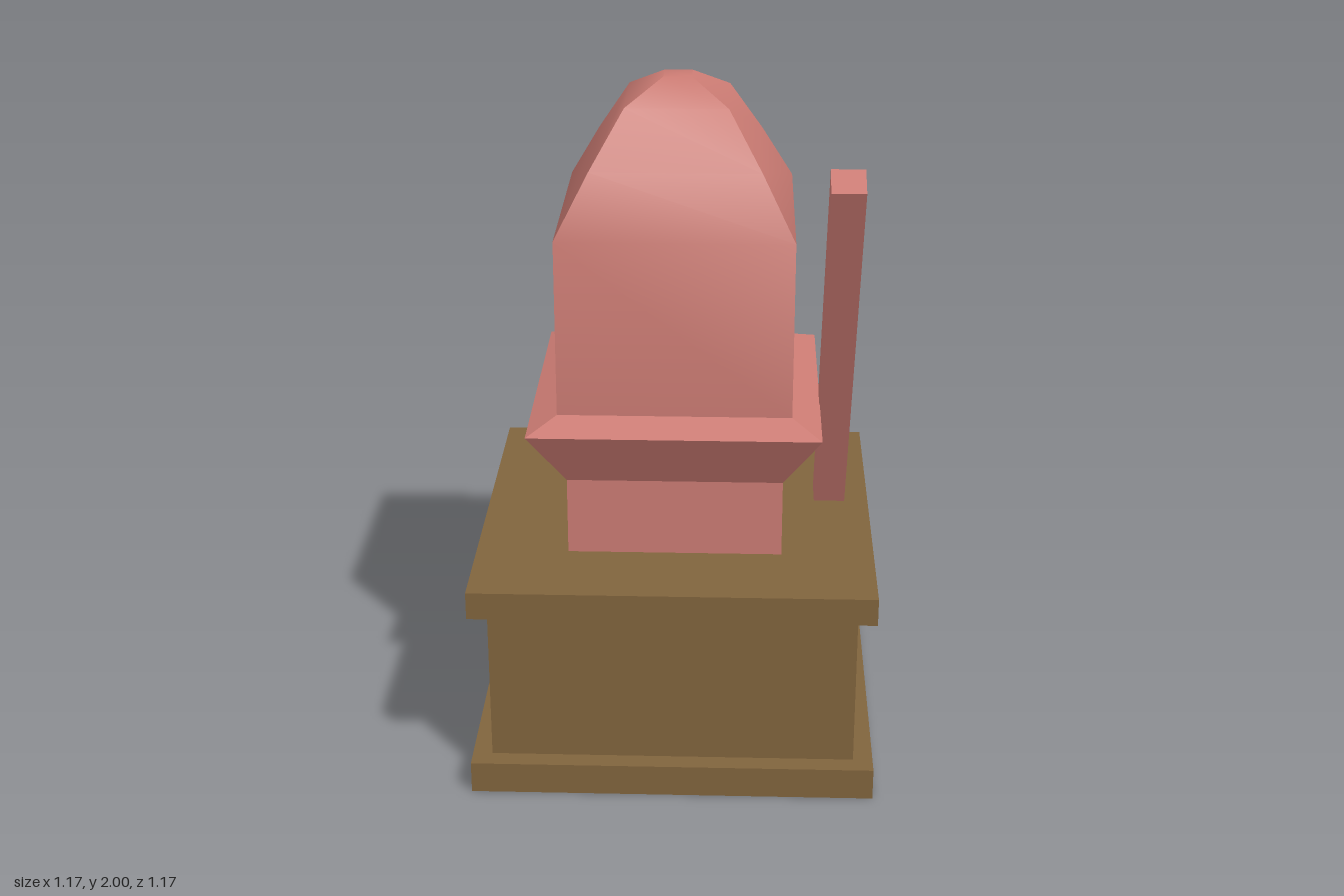
import * as THREE from 'three';
import { toCreasedNormals } from 'three/addons/utils/BufferGeometryUtils.js';

const wood = new THREE.MeshStandardMaterial({ color: 0x80643d });
const pink = new THREE.MeshStandardMaterial({ color: 0xcb7b73 });

// Square solid swept from a profile of [half width, height], bottom to top
function squareSolid(name, profile, material, creaseDegrees = 5) {
  const points = profile.map(([half, y]) => new THREE.Vector2(half * Math.SQRT2, y));
  const lathe = new THREE.LatheGeometry(points, 4, Math.PI / 4);
  const mesh = new THREE.Mesh(toCreasedNormals(lathe, THREE.MathUtils.degToRad(creaseDegrees)), material);
  mesh.name = name;
  return mesh;
}

// Square slab between two heights
function slab(name, half, y0, y1, material) {
  const mesh = new THREE.Mesh(new THREE.BoxGeometry(half * 2, y1 - y0, half * 2), material);
  mesh.position.y = (y0 + y1) / 2;
  mesh.name = name;
  return mesh;
}

export function createModel() {
  const model = new THREE.Group();
  model.name = 'pedestalWithLever';

  // Stepped pedestal
  model.add(
    slab('plinth', 0.585, 0, 0.095, wood),
    slab('pedestalBody', 0.528, 0.095, 0.57, wood),
    slab('pedestalTop', 0.58, 0.57, 0.652, wood),
  );

  // Neck, flared collar and domed head
  model.add(
    slab('neck', 0.311, 0.652, 0.882, pink),
    squareSolid('collar', [[0.311, 0.882], [0.417, 1.058], [0.333, 1.095]], pink),
    squareSolid('dome', [[0.333, 1.095], [0.333, 1.61], [0.24, 1.78], [0.145, 1.936],
      [0.04, 2], [0, 2]], pink, 36),
  );

  // Leaning lever on the left side, its foot sunk into the pedestal
  const top = new THREE.Vector3(0.462, 1.835, 0.483);
  const foot = new THREE.Vector3(0.462, 0.59, -0.137);
  const lever = new THREE.Mesh(new THREE.BoxGeometry(0.093, top.distanceTo(foot), 0.093), pink);
  lever.position.addVectors(top, foot).multiplyScalar(0.5);
  lever.rotation.x = Math.atan2(top.z - foot.z, top.y - foot.y);
  lever.name = 'lever';
  model.add(lever);

  return model;
}
